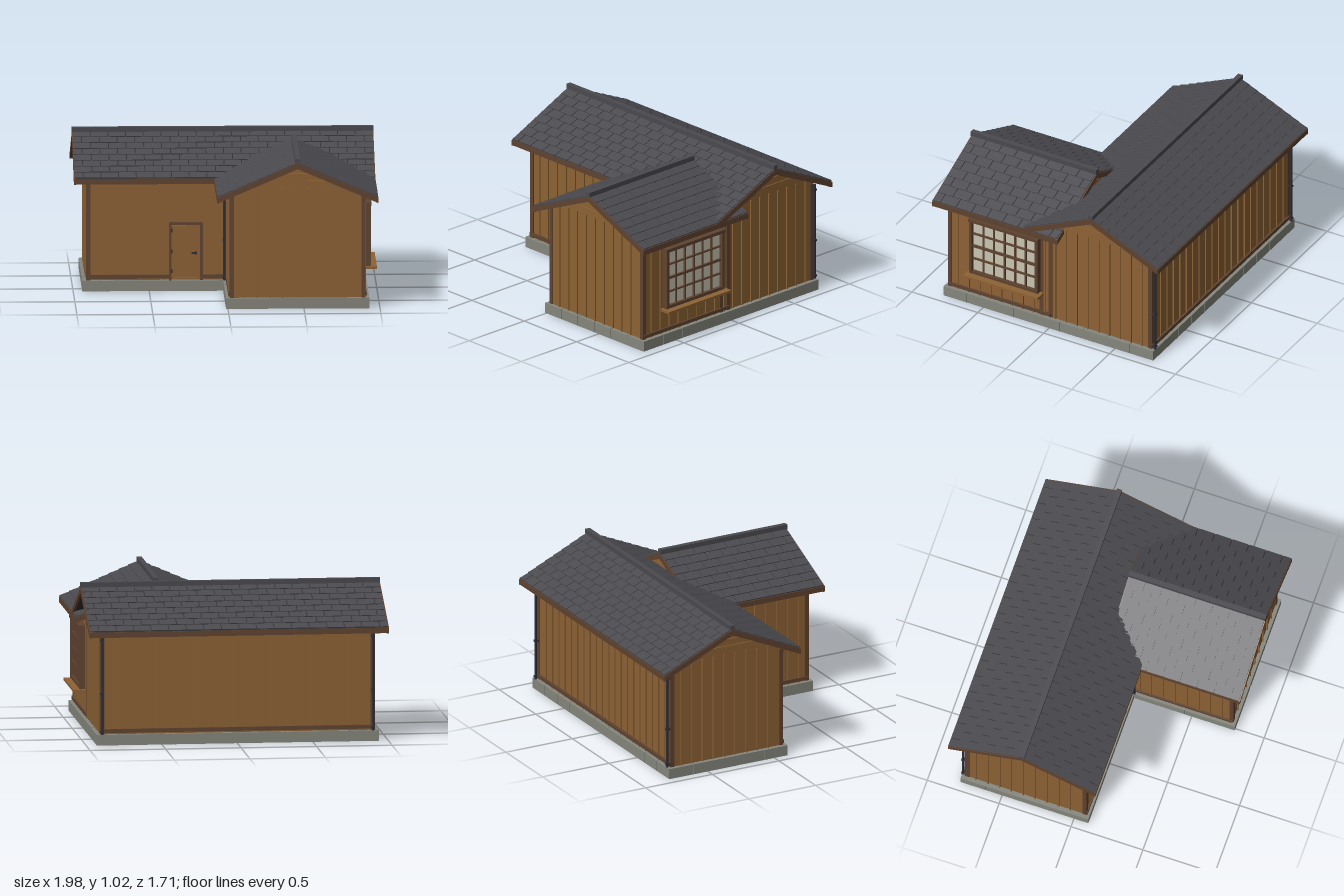
import * as THREE from 'three';
import { mergeGeometries } from 'three/addons/utils/BufferGeometryUtils.js';

const mat = (name, color) => {
  const m = new THREE.MeshStandardMaterial({ color });
  m.name = name;
  return m;
};

// Box given by its limits
const span = (x0, x1, y0, y1, z0, z1) =>
  new THREE.BoxGeometry(x1 - x0, y1 - y0, z1 - z0).translate((x0 + x1) / 2, (y0 + y1) / 2, (z0 + z1) / 2);

// One mesh from several pieces, all made non-indexed so that they can be merged
function add(parent, name, material, geos) {
  const mesh = new THREE.Mesh(mergeGeometries(geos.map(g => (g.index ? g.toNonIndexed() : g))), material);
  mesh.name = name;
  parent.add(mesh);
}

// Polygon in x/y extruded from z0 to z1
const prism = (pts, z0, z1) =>
  new THREE.ExtrudeGeometry(new THREE.Shape(pts.map(p => new THREE.Vector2(...p))),
    { depth: z1 - z0, bevelEnabled: false }).translate(0, 0, z0);

const chevron = (half, peak, k, t, z0, z1) => {
  const e = peak - k * half;
  return prism([[0, peak], [-half, e], [-half, e - t], [0, peak - t], [half, e - t], [half, e]], z0, z1);
};

export function createModel() {
  const root = new THREE.Group();
  root.name = 'cabin';
  const wood = mat('wall wood', 0x8d6234);
  const trim = mat('brown trim', 0x5f4330);
  const slate = mat('roof shingle', 0x4a4a4f);
  const under = mat('roof underlay', 0x2f2f33);
  const stone = mat('foundation stone', 0x85867c);
  const pane = mat('window pane', 0xcac5b2);
  const metal = mat('dark metal', 0x2c2e36);

  // Gabled wing with its ridge along local z
  function gabledWing(o) {
    const { name, half, wallHalf, peak, k, r, w0, w1 } = o;
    const g = new THREE.Group();
    g.name = name;
    root.add(g);
    const wp = peak - 0.028, we = wp - k * wallHalf;
    add(g, name + 'Walls', wood,
      [prism([[-wallHalf, 0.07], [wallHalf, 0.07], [wallHalf, we], [0, wp], [-wallHalf, we]], w0, w1)]);

    // Horizontal lap boards in the gables
    const laps = [];
    for (let y = 0.805; y < wp - 0.03; y += 0.048) {
      const y1 = Math.min(y + 0.044, wp - 0.012);
      const a = (wp - y) / k, b = (wp - y1) / k;
      const board = [[-a, y], [a, y], [b, y1], [-b, y1]];
      laps.push(prism(board, w1, w1 + 0.008), prism(board, w0 - 0.008, w0));
    }
    add(g, name + 'GableBoards', wood, laps);

    // Deck, rake boards, fascias
    add(g, name + 'RoofDeck', under, [chevron(half, peak, k, 0.025, -r, r)]);
    const e = peak - k * half;
    const edge = [chevron(half + 0.008, peak + 0.003, k, 0.038, r - 0.012, r + 0.004),
      chevron(half + 0.008, peak + 0.003, k, 0.038, -r - 0.004, -r + 0.012)];
    const ang = Math.atan(k), len = half / Math.cos(ang);
    const tails = [], tabs = [];
    const rows = 8, step = len / rows, cols = Math.round(2 * r / 0.118), cw = 2 * r / cols;
    for (const s of [-1, 1]) {
      edge.push(span(-0.008, 0.008, e - 0.036, e, -r, r).translate(s * half, 0, 0));
      const place = geo => geo.rotateZ(-s * ang).translate(0, peak, 0);
      // Rafter tails
      for (let z = -r + 0.08; z < r - 0.05; z += 0.118) {
        tails.push(place(new THREE.BoxGeometry(0.1, 0.024, 0.018).translate(s * (len - 0.065), -0.034, z)));
      }
      // Staggered shingle courses
      for (let i = 0; i < rows; i++) {
        const shift = (i % 2) * cw / 2;
        for (let j = 0; j <= cols; j++) {
          const z0 = Math.max(-r, -r + j * cw - shift) + 0.003;
          const z1 = Math.min(r, -r + (j + 1) * cw - shift) - 0.003;
          if (z1 - z0 < 0.01) continue;
          tabs.push(place(new THREE.BoxGeometry(step * 1.08, 0.007, z1 - z0).rotateZ(s * 0.07)
            .translate(s * (i + 0.5) * step, 0.006, (z0 + z1) / 2)));
        }
      }
    }
    add(g, name + 'RoofEdges', trim, edge);
    add(g, name + 'RafterTails', trim, tails);
    add(g, name + 'Shingles', slate, tabs);
    add(g, name + 'RidgeCap', slate, [span(-0.017, 0.017, peak, peak + 0.033, -r - 0.004, r + 0.004)]);
    return g;
  }

  const main = gabledWing({ name: 'mainWing', half: 0.505, wallHalf: 0.415, peak: 0.988, k: 0.45, r: 0.988, w0: -0.905, w1: 0.905 });
  main.rotation.y = Math.PI / 2;
  main.position.set(-0.005, 0, -0.345);
  const front = gabledWing({ name: 'frontWing', half: 0.522, wallHalf: 0.4425, peak: 0.975, k: 0.43, r: 0.472, w0: -0.44, w1: 0.395 });
  front.position.set(0.4575, 0, 0.38);

  // Foundation core and facing blocks
  add(root, 'foundation', stone, [span(-0.937, 0.927, 0, 0.068, -0.787, 0.097), span(-0.01, 0.927, 0, 0.068, 0.09, 0.797)]);
  const blocks = [];
  // Row of blocks whose outer face lies at out, facing along dir
  const course = (a0, a1, out, dir, alongX) => {
    const n = Math.round((a1 - a0) / 0.17), w = (a1 - a0) / n;
    const lo = Math.min(out, out - dir * 0.02), hi = lo + 0.02;
    for (let i = 0; i < n; i++) {
      const p = a0 + i * w + 0.002, q = p + w - 0.004;
      blocks.push(alongX ? span(p, q, 0, 0.07, lo, hi) : span(lo, hi, 0, 0.07, p, q));
    }
  };
  course(-0.94, 0.93, -0.79, -1, true);
  course(-0.94, -0.013, 0.1, 1, true);
  course(-0.013, 0.93, 0.8, 1, true);
  course(-0.79, 0.1, -0.94, -1, false);
  course(0.1, 0.8, -0.013, -1, false);
  course(-0.79, 0.8, 0.93, 1, false);
  add(root, 'foundationBlocks', stone, blocks);

  // Narrow vertical battens
  const bat = [], b = 0.004, d = 0.009;
  for (let x = -0.83; x < 0.87; x += 0.085) {
    bat.push(span(x - b, x + b, 0.07, 0.75, -0.76 - d, -0.76));
    if (x < -0.02) bat.push(span(x - b, x + b, x > -0.39 && x < -0.13 ? 0.46 : 0.07, 0.75, 0.07, 0.07 + d));
    if (x > 0.06) bat.push(span(x - b, x + b, 0.07, 0.8, 0.775, 0.775 + d));
  }
  for (let z = -0.69; z < 0.74; z += 0.082) {
    if (z < 0.04) bat.push(span(-0.91 - d, -0.91, 0.07, 0.79, z - b, z + b));
    else bat.push(span(0.015 - d, 0.015, 0.07, 0.74, z - b, z + b));
    const top = z > 0.08 && z < 0.62 ? 0.24 : z < 0 ? 0.79 : 0.74;
    bat.push(span(0.9, 0.9 + d, 0.07, top, z - b, z + b));
  }
  add(root, 'wallBattens', wood, bat);

  // Corner posts
  const post = (x, z) => span(x - 0.014, x + 0.014, 0.07, 0.75, z - 0.014, z + 0.014);
  add(root, 'cornerPosts', trim, [post(-0.9, 0.065), post(-0.9, -0.752), post(0.892, -0.752), post(0.892, 0.768),
    post(0.026, 0.768), post(0.892, 0.07), post(0.892, 0.005), post(0.01, 0.078)]);

  // Base and top trim boards
  add(root, 'trimBoards', trim, [span(-0.915, -0.37, 0.08, 0.105, 0.07, 0.085), span(-0.147, 0.01, 0.08, 0.105, 0.07, 0.085),
    span(-0.91, 0.01, 0.715, 0.74, 0.07, 0.083),
    span(-0.91, 0.9, 0.08, 0.105, -0.775, -0.76), span(-0.91, 0.9, 0.715, 0.74, -0.773, -0.76),
    span(0.9, 0.914, 0.08, 0.102, 0, 0.775), span(0.9, 0.912, 0.715, 0.74, 0, 0.775),
    span(0.003, 0.015, 0.08, 0.102, 0.08, 0.775)]);

  // Downspouts with wall brackets
  const spouts = [];
  for (const [x, z, s] of [[-0.005, 0.098, -1], [-0.9, -0.784, 1], [0.895, -0.784, 1]]) {
    spouts.push(new THREE.CylinderGeometry(0.009, 0.009, 0.665, 10).translate(x, 0.403, z));
    for (const y of [0.09, 0.34, 0.7]) spouts.push(new THREE.BoxGeometry(0.024, 0.012, 0.03).translate(x, y, z + s * 0.004));
  }
  add(root, 'downspouts', metal, spouts);

  // Window on the left wall
  const win = new THREE.Group();
  win.name = 'window';
  root.add(win);
  add(win, 'windowPane', pane, [span(0.9, 0.918, 0.26, 0.66, 0.09, 0.59)]);
  const frame = [span(0.9, 0.95, 0.65, 0.672, 0.075, 0.605), span(0.9, 0.94, 0.247, 0.268, 0.08, 0.6),
    span(0.9, 0.945, 0.25, 0.665, 0.08, 0.1), span(0.9, 0.945, 0.25, 0.665, 0.58, 0.6)];
  for (let i = 1; i < 6; i++) {
    const z = 0.1 + i * 0.08;
    frame.push(span(0.915, 0.93, 0.26, 0.66, z - 0.005, z + 0.005));
  }
  for (let i = 1; i < 4; i++) {
    const y = 0.265 + i * 0.0965, h = i === 2 ? 0.008 : 0.005;
    frame.push(span(0.915, 0.932, y - h, y + h, 0.09, 0.59));
  }
  add(win, 'windowFrame', trim, frame);
  add(win, 'windowSill', wood, [span(0.9, 0.985, 0.23, 0.246, 0.055, 0.62)]);

  // Front door
  const door = new THREE.Group();
  door.name = 'door';
  root.add(door);
  add(door, 'doorFrame', trim, [span(-0.37, -0.352, 0.07, 0.455, 0.07, 0.092), span(-0.165, -0.147, 0.07, 0.455, 0.07, 0.092),
    span(-0.37, -0.147, 0.438, 0.455, 0.07, 0.094)]);
  add(door, 'doorLeaf', wood, [span(-0.352, -0.165, 0.073, 0.438, 0.07, 0.08),
    span(-0.35, -0.335, 0.073, 0.436, 0.08, 0.087), span(-0.185, -0.167, 0.073, 0.436, 0.08, 0.087),
    span(-0.335, -0.185, 0.073, 0.088, 0.08, 0.087), span(-0.335, -0.185, 0.235, 0.27, 0.08, 0.087),
    span(-0.335, -0.185, 0.41, 0.436, 0.08, 0.087)]);
  add(door, 'doorHardware', metal, [span(-0.222, -0.19, 0.246, 0.256, 0.087, 0.1), span(-0.2, -0.185, 0.24, 0.262, 0.087, 0.092),
    ...[0.12, 0.25, 0.39].map(y => span(-0.355, -0.346, y, y + 0.025, 0.085, 0.095))]);

  return root;
}
